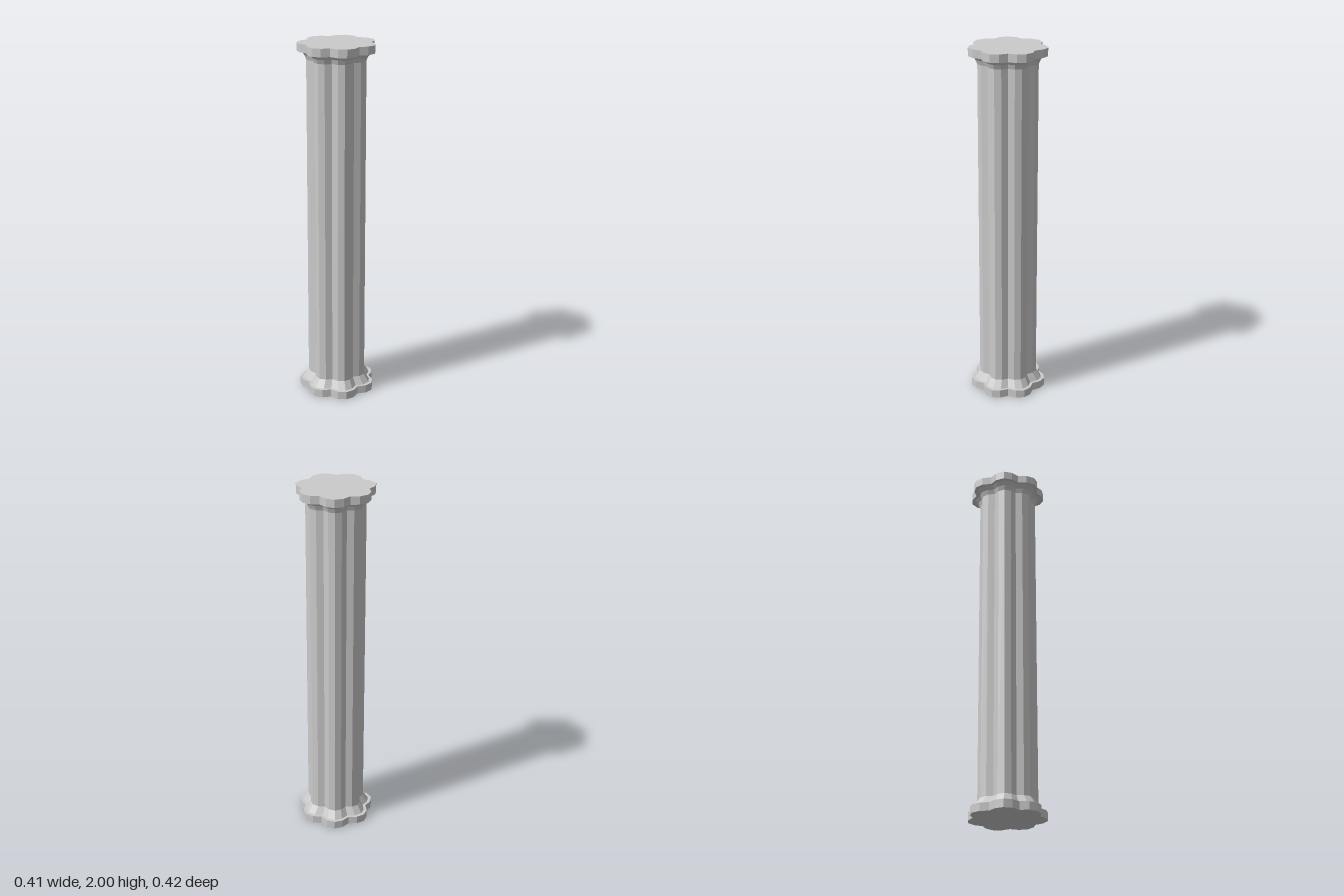
import * as THREE from 'three';

const LOBES = 7;
const STEPS = LOBES * 4;
const CENTRE_X = -0.008; // centres the uneven outline on x = 0
const RADII = [0.2155, 0.2045, 0.18, 0.2045]; // tip, shoulder, valley, shoulder

// Point on the lobed outline at a given height and scale
function outlinePoint(i, y, scale) {
  const k = i % STEPS;
  const a = (k / STEPS) * Math.PI * 2;
  const r = RADII[k % 4] * scale;
  return [CENTRE_X + r * Math.cos(a), y, r * Math.sin(a)];
}

// Skin a stack of [height, scale] outlines, optionally closing both ends
function loftLobes(levels, closed) {
  const pos = [];
  for (let l = 0; l < levels.length - 1; l++) {
    for (let i = 0; i < STEPS; i++) {
      const a = outlinePoint(i, ...levels[l]);
      const b = outlinePoint(i + 1, ...levels[l]);
      const c = outlinePoint(i, ...levels[l + 1]);
      const d = outlinePoint(i + 1, ...levels[l + 1]);
      pos.push(...a, ...c, ...b, ...b, ...c, ...d);
    }
  }
  if (closed) {
    const low = levels[0];
    const high = levels[levels.length - 1];
    for (let i = 0; i < STEPS; i++) {
      pos.push(CENTRE_X, low[0], 0, ...outlinePoint(i, ...low), ...outlinePoint(i + 1, ...low));
      pos.push(CENTRE_X, high[0], 0, ...outlinePoint(i + 1, ...high), ...outlinePoint(i, ...high));
    }
  }
  const geo = new THREE.BufferGeometry();
  geo.setAttribute('position', new THREE.Float32BufferAttribute(pos, 3));
  geo.computeVertexNormals();
  return geo;
}

export function createModel() {
  const group = new THREE.Group();
  group.name = 'column';
  const material = new THREE.MeshStandardMaterial({ color: 0xcccccc, flatShading: true });

  const add = (name, levels, closed) => {
    const mesh = new THREE.Mesh(loftLobes(levels, closed), material);
    mesh.name = name;
    group.add(mesh);
  };

  // Slabs at the foot and head
  add('basePlate', [[0, 1], [0.045, 1]], true);
  add('topPlate', [[1.955, 1], [2, 1]], true);

  // Fluted shaft between its flared collars
  add('baseCollar', [[0.045, 0.91], [0.09, 0.77]], false);
  add('shaft', [[0.09, 0.77], [1.91, 0.77]], false);
  add('topCollar', [[1.91, 0.77], [1.935, 0.82], [1.955, 0.91]], false);

  return group;
}
